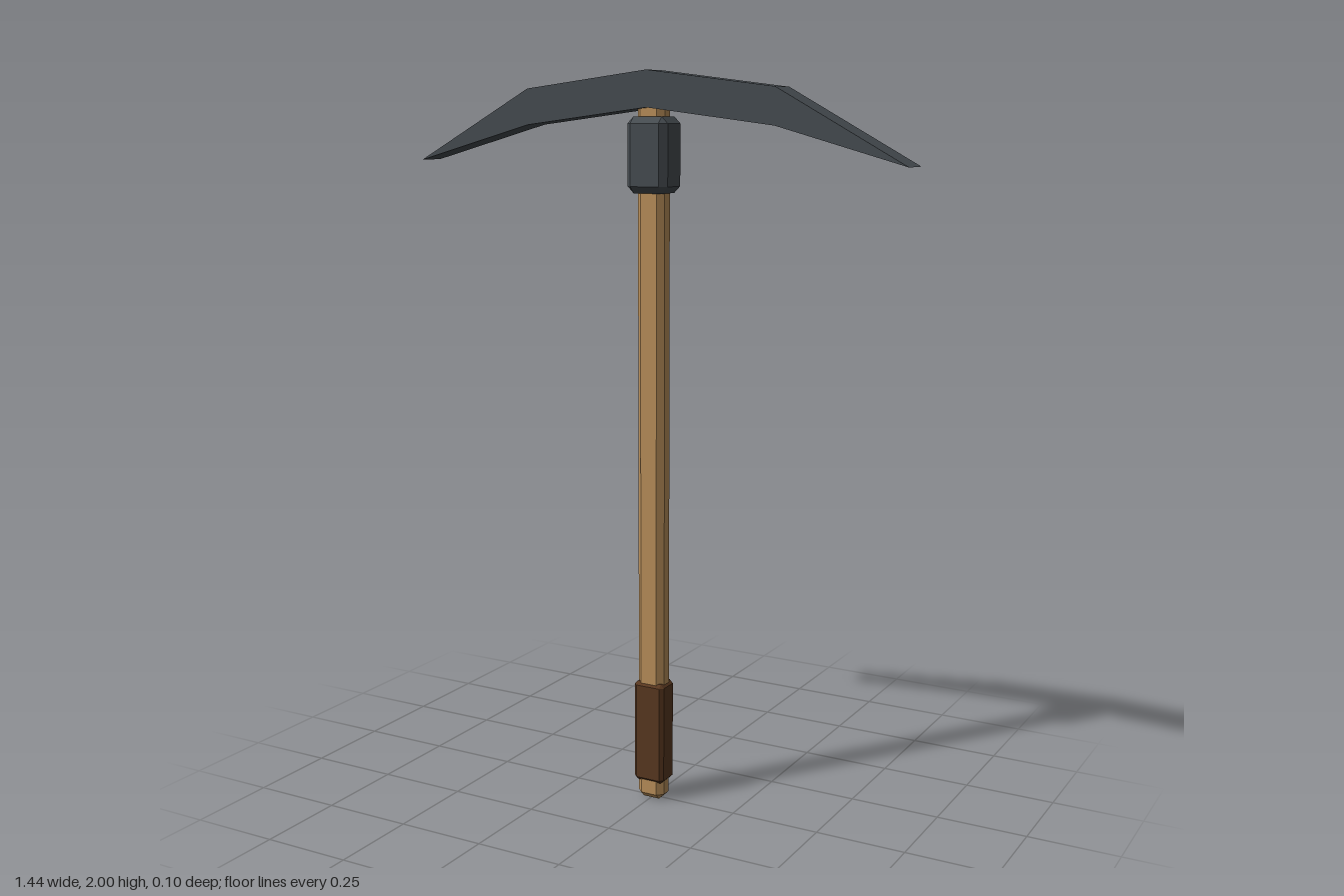
import * as THREE from 'three';
import { ConvexGeometry } from 'three/addons/geometries/ConvexGeometry.js';

const material = (name, color) => {
  const m = new THREE.MeshStandardMaterial({ color, flatShading: true });
  m.name = name;
  return m;
};

// Box between y0 and y1 with every edge chamfered by c
function chamferBox(halfX, halfZ, y0, y1, c) {
  const halfY = (y1 - y0) / 2, midY = (y0 + y1) / 2;
  const points = [];
  for (const sx of [-1, 1]) for (const sy of [-1, 1]) for (const sz of [-1, 1]) {
    for (const [ix, iy, iz] of [[0, c, c], [c, 0, c], [c, c, 0]]) {
      points.push(new THREE.Vector3(
        sx * (halfX - ix), midY + sy * (halfY - iy), sz * (halfZ - iz)));
    }
  }
  return new ConvexGeometry(points);
}

export function createModel() {
  const group = new THREE.Group();
  group.name = 'pickaxe';
  const wood = material('wood', 0xb98f5a);
  const leather = material('leather', 0x593820);
  const iron = material('iron', 0x464c51);

  const add = (name, geometry, mat) => {
    const mesh = new THREE.Mesh(geometry, mat);
    mesh.name = name;
    group.add(mesh);
  };

  // Shaft, grip wrap and collar
  add('handle', chamferBox(0.04, 0.03, 0, 1.92, 0.016), wood);
  add('grip', chamferBox(0.046, 0.036, 0.052, 0.343, 0.01), leather);
  add('collar', chamferBox(0.06, 0.052, 1.685, 1.882, 0.018), iron);

  // Curved head, tapering to a chisel edge on both sides
  const right = [[0.365, 1.955], [0.72, 1.763], [0.365, 1.86]];
  const left = right.map(([x, y]) => [-x, y]).reverse();
  const outline = [[0, 2], ...right, [0, 1.905], ...left];
  const shape = new THREE.Shape(outline.map(([x, y]) => new THREE.Vector2(x, y)));
  const depth = 0.084;
  const head = new THREE.ExtrudeGeometry(shape, { depth, bevelEnabled: false });
  head.translate(0, 0, -depth / 2);
  add('head', head, iron);

  return group;
}
